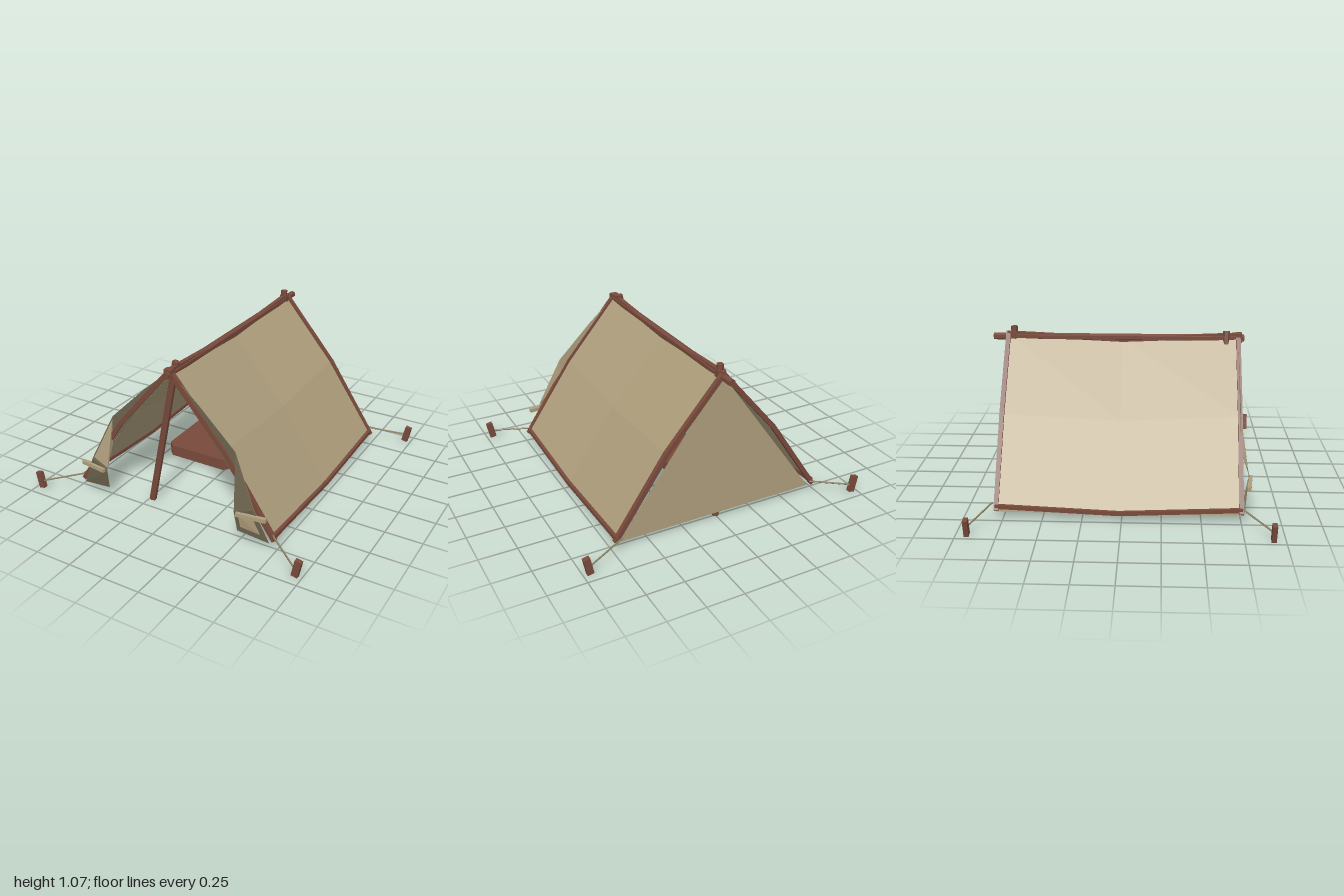
import * as THREE from 'three';

const mat = (name, color, side = THREE.FrontSide) => {
  const m = new THREE.MeshStandardMaterial({ color, side, flatShading: true });
  m.name = name;
  return m;
};
const V = (x, y, z) => new THREE.Vector3(x, y, z);

export function createModel() {
  const root = new THREE.Group();
  const wood = mat('wood', 0x784a3b);
  const canvas = mat('canvas', 0xae9e7c, THREE.DoubleSide);
  const shade = mat('shaded canvas', 0x6c634e);
  const rope = mat('rope', 0x8a8064);

  const add = (name, geo, material, parent = root) => {
    const m = new THREE.Mesh(geo, material);
    m.name = name;
    parent.add(m);
    return m;
  };
  // round pole between two points
  const pole = (name, a, b, r, material = wood, sides = 6) => {
    const d = b.clone().sub(a);
    const m = add(name, new THREE.CylinderGeometry(r, r, d.length(), sides), material);
    m.position.copy(a).add(b).multiplyScalar(0.5);
    m.quaternion.setFromUnitVectors(V(0, 1, 0), d.normalize());
    return m;
  };
  // square batten between two points
  const batten = (name, a, b, w) => {
    const m = add(name, new THREE.BoxGeometry(w, w, a.distanceTo(b) + w * 0.5), wood);
    m.position.copy(a).add(b).multiplyScalar(0.5);
    m.lookAt(b);
    return m;
  };
  const box = (name, size, pos, material) => {
    const m = add(name, new THREE.BoxGeometry(...size), material);
    m.position.set(...pos);
    return m;
  };
  // open sheet from rows of points
  const sheet = (rows) => {
    const pos = [], idx = [], n = rows[0].length;
    rows.forEach(r => r.forEach(p => pos.push(p.x, p.y, p.z)));
    for (let i = 0; i < rows.length - 1; i++)
      for (let j = 0; j < n - 1; j++) {
        const a = i * n + j, b = a + n;
        idx.push(a, b, a + 1, b, b + 1, a + 1);
      }
    const g = new THREE.BufferGeometry();
    g.setAttribute('position', new THREE.Float32BufferAttribute(pos, 3));
    g.setIndex(idx);
    g.computeVertexNormals();
    return g;
  };

  const front = 0.75, back = -0.79, mid = -0.02;
  const profile = [[0, 1.03], [0.38, 0.585], [0.72, 0.09]];
  const zs = [front, mid, back];
  const sag = [0, 0.035, 0];

  for (const s of [1, -1]) {
    const side = s > 0 ? 'left' : 'right';

    // roof sheet, sagging towards the middle, with a short hem
    const rows = profile.map(([x, y]) => zs.map((z, i) => V(s * x, y - sag[i], z)));
    rows.push(zs.map(z => V(s * 0.725, 0.055, z)));
    add(side + 'Roof', sheet(rows), canvas);

    // battens along the gables, the eave and the ridge
    for (const [end, k] of [['Front', 0], ['Back', 2]]) {
      batten(side + end + 'UpperBatten', rows[0][k], rows[1][k], 0.03);
      batten(side + end + 'LowerBatten', rows[1][k], V(s * 0.725, 0.07, zs[k]), 0.03);
    }
    for (let i = 0; i < 2; i++) {
      batten(side + 'EaveBatten', rows[2][i], rows[2][i + 1], 0.026);
      if (s > 0) batten('ridgeBatten', rows[0][i], rows[0][i + 1], 0.03);
    }

    // door flap pulled aside, dark outside and pale inside
    const flapRows = [
      [V(0, 1.03, 0.755), V(0, 1.0, 0.755)],
      [V(s * 0.2, 0.855, 0.762), V(s * 0.2, 0.76, 0.762)],
      [V(s * 0.455, 0.605, 0.772), V(s * 0.465, 0.41, 0.772)],
      [V(s * 0.61, 0.27, 0.8), V(s * 0.48, 0.225, 0.815)],
      [V(s * 0.705, 0.05, 0.775), V(s * 0.49, 0.08, 0.79)],
    ];
    // the upper strip stays behind the gable battens
    flapRows.slice(0, 3).forEach(r => r.forEach(p => { p.z = 0.752; }));
    const outward = s > 0 ? flapRows.map(r => [r[1], r[0]]) : flapRows;
    const inward = outward.map(r => [r[1], r[0]].map(p => V(p.x, p.y, p.z - 0.003)));
    add(side + 'FlapOutside', sheet(outward), shade);
    add(side + 'FlapInside', sheet(inward), canvas);

    // flap tie
    const tie = box(side + 'FlapTie', [0.195, 0.026, 0.026], [s * 0.595, 0.222, 0.808], canvas);
    tie.rotation.y = s * 0.13;

    // guy ropes and stakes
    for (const [end, z, rx, rz] of [['Front', 0.925, 0.72, 0.755], ['Back', -0.93, 0.69, -0.82]]) {
      pole(side + end + 'Rope', V(s * 0.95, 0.06, z), V(s * rx, 0.1, rz), 0.006, rope, 5);
      const stake = box(side + end + 'Stake', [0.043, 0.115, 0.03], [s * 0.966, 0.066, z], wood);
      stake.rotation.z = -s * 0.2;
    }
  }

  // closed back wall
  const wall = new THREE.Shape();
  wall.moveTo(-0.7, 0.047).lineTo(0.7, 0.047).lineTo(0, 1.02);
  add('backWall', new THREE.ShapeGeometry(wall), canvas).position.z = -0.782;

  // frame poles and lashings
  pole('ridgePole', V(0, 1.01, 0.79), V(0, 1.01, -0.89), 0.024);
  pole('frontPole', V(-0.225, 0.01, 0.67), V(-0.005, 1.06, 0.67), 0.023);
  pole('backPole', V(0, 0.01, -0.75), V(0, 1.08, -0.75), 0.023);
  box('frontLashing', [0.052, 0.06, 0.04], [0, 1.015, 0.755], wood);
  box('backLashing', [0.052, 0.06, 0.04], [0, 1.015, -0.755], wood);

  // bed with cut corners
  const w = 0.25, d = 0.405, c = 0.04;
  const plan = new THREE.Shape([
    [-w + c, -d], [w - c, -d], [w, -d + c], [w, d - c],
    [w - c, d], [-w + c, d], [-w, d - c], [-w, -d + c],
  ].map(p => new THREE.Vector2(...p)));
  const bedGeo = new THREE.ExtrudeGeometry(plan, { depth: 0.08, bevelEnabled: false });
  bedGeo.rotateX(-Math.PI / 2);
  add('bed', bedGeo, wood).position.set(-0.21, 0.02, -0.265);
  box('pillow', [0.46, 0.073, 0.18], [-0.21, 0.136, -0.55], canvas);

  return root;
}
